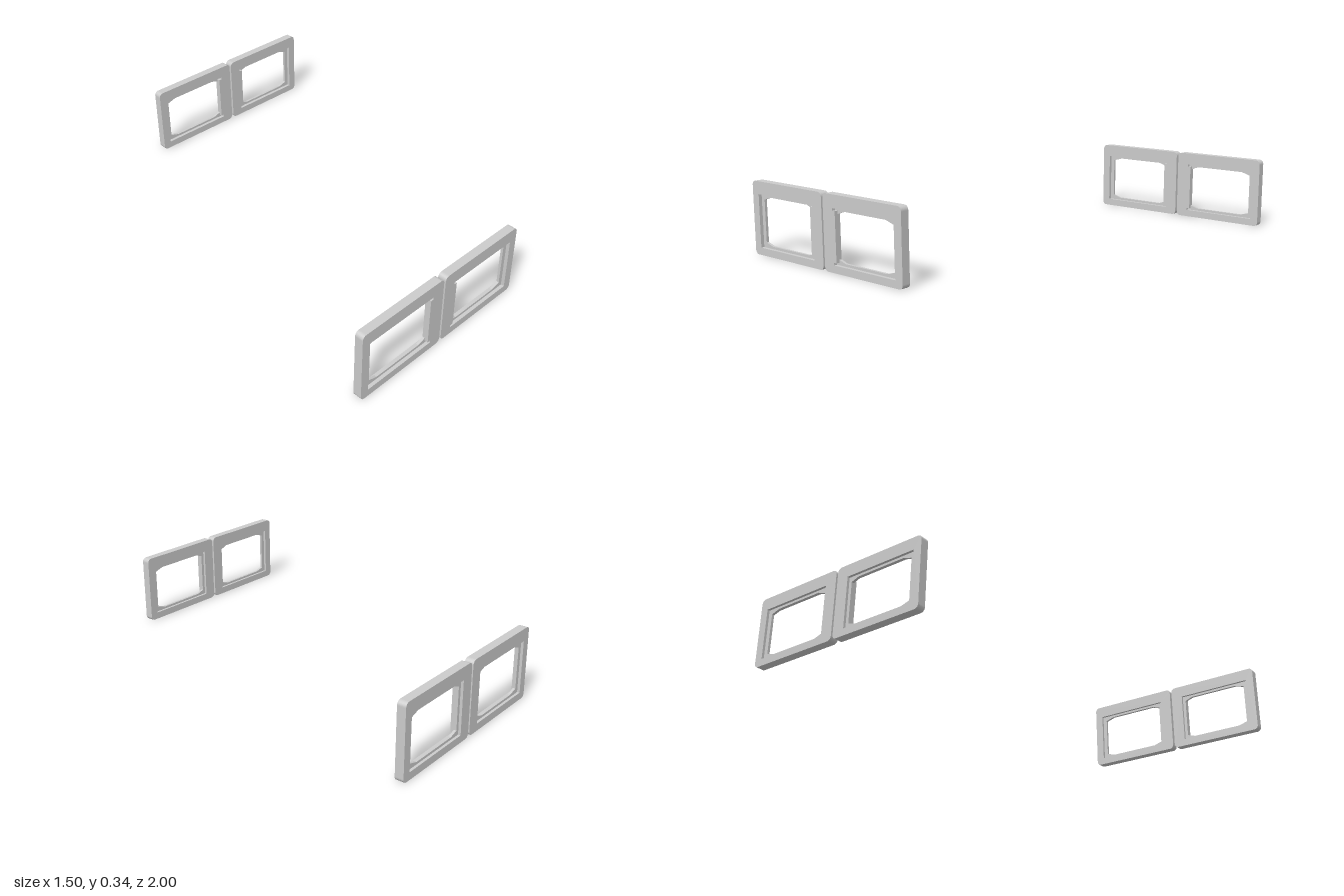
import * as THREE from 'three';

const material = new THREE.MeshStandardMaterial({ color: 0xcccccc, flatShading: true });

// Sizes of one frame; local x grows towards the pair's outer end
const HALF = 0.235, HEIGHT = 0.338, RADIUS = 0.02;
const BOTTOM = 0.034, TOP = 0.279;

function outline() {
  const s = new THREE.Shape();
  const corners = [[HALF - RADIUS, RADIUS, -90], [HALF - RADIUS, HEIGHT - RADIUS, 0],
    [RADIUS - HALF, HEIGHT - RADIUS, 90], [RADIUS - HALF, RADIUS, 180]];
  for (const [x, y, deg] of corners) {
    const a = THREE.MathUtils.degToRad(deg);
    s.absarc(x, y, RADIUS, a, a + Math.PI / 2, false);
  }
  s.closePath();
  return s;
}

// One slice of a frame: rounded outline with an opening, side = 1 or -1 mirrors the opening
function slice(name, opening, side, z, depth) {
  const shape = outline();
  shape.holes.push(new THREE.Path(opening.map(([x, y]) => new THREE.Vector2(x * side, y))));
  const geometry = new THREE.ExtrudeGeometry(shape, { depth, bevelEnabled: false, curveSegments: 4 });
  const mesh = new THREE.Mesh(geometry, material);
  mesh.name = name;
  mesh.position.z = z;
  return mesh;
}

// Face opening with narrow slots running past the inner side at top and bottom
const slotted = [[-0.175, BOTTOM], [0.195, BOTTOM], [0.195, TOP], [-0.175, TOP],
  [-0.175, 0.268], [-0.16, 0.268], [-0.16, 0.045], [-0.175, 0.045]];

// Lip opening with cut corners
const lip = [[-0.12, 0.045], [0.13, 0.045], [0.175, 0.058], [0.175, 0.254],
  [0.13, 0.268], [-0.12, 0.268], [-0.16, 0.254], [-0.16, 0.058]];

// Plain rebate on the rear face
const rebate = [[-0.175, BOTTOM], [0.195, BOTTOM], [0.195, TOP], [-0.175, TOP]];

function frame(side) {
  const g = new THREE.Group();
  g.add(slice('rearRebate', rebate, side, -0.02, 0.012));
  g.add(slice('innerLip', lip, side, -0.008, 0.012));
  g.add(slice('frontFace', slotted, side, 0.004, 0.016));
  return g;
}

export function createModel() {
  const model = new THREE.Group();
  model.name = 'framePairs';
  // Two pairs, offset sideways and facing the same way
  for (const [name, x, z] of [['front', -0.275, 0.98], ['back', 0.275, -0.98]]) {
    const pair = new THREE.Group();
    pair.name = name + 'Pair';
    pair.position.set(x, 0, z);
    for (const side of [-1, 1]) {
      const f = frame(side);
      f.name = name + (side > 0 ? 'LeftFrame' : 'RightFrame');
      f.position.x = side * 0.24;
      pair.add(f);
    }
    model.add(pair);
  }
  return model;
}
